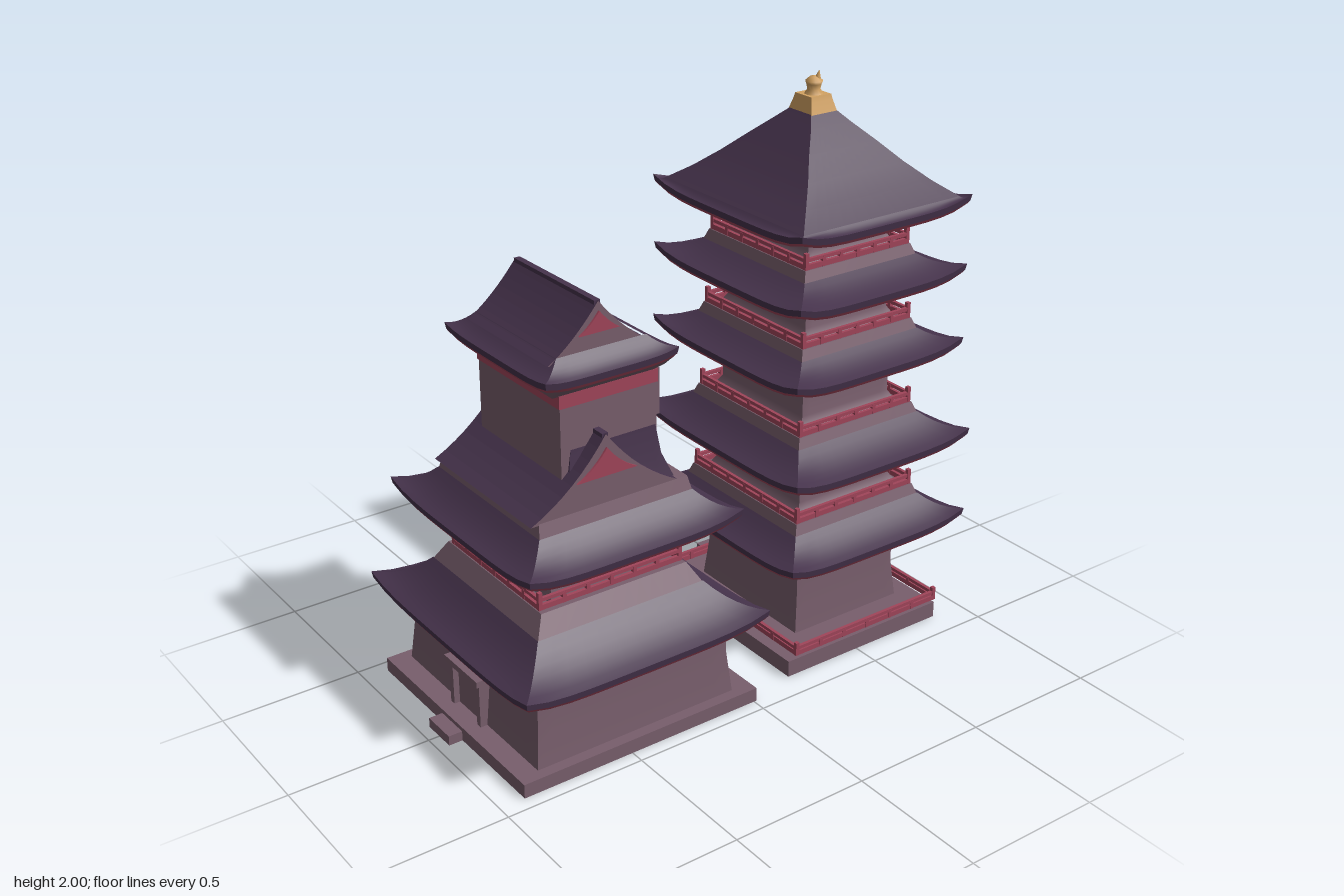
import * as THREE from 'three';

const paint = (name, color) => Object.assign(new THREE.MeshStandardMaterial({ color }), { name });

export function createModel() {
  const root = new THREE.Group();
  const roofMat = paint('purple roof', 0x46334c);
  const wallMat = paint('mauve wall', 0x785e6c);
  const redMat = paint('red trim', 0xa0455a);
  const goldMat = paint('gold', 0xd2a262);
  let parent = root;

  const add = (name, geo, mat, x = 0, y = 0, z = 0) => {
    const m = new THREE.Mesh(geo, mat);
    m.name = name;
    m.position.set(x, y, z);
    parent.add(m);
    return m;
  };
  const box = (name, mat, w, h, d, x, y, z) => add(name, new THREE.BoxGeometry(w, h, d), mat, x, y, z);

  // Four-sided loft: rings are [halfX, halfZ, y, cornerLift]; hips stay sharp
  function loft(name, mat, rings, z = 0, cap = false) {
    const n = 12, pos = [], idx = [];
    for (let s = 0; s < 4; s++) {
      const start = pos.length / 3;
      for (const [hx, hz, y, lift = 0] of rings) {
        for (let i = 0; i <= n; i++) {
          const t = (i / n) * 2 - 1;
          const p = [[t * hx, hz], [hx, -t * hz], [-t * hx, -hz], [-hx, t * hz]][s];
          pos.push(p[0], y + lift * Math.pow(Math.abs(t), 5), p[1]);
        }
      }
      for (let j = 0; j < rings.length - 1; j++) {
        for (let i = 0; i < n; i++) {
          const a = start + j * (n + 1) + i, b = a + n + 1;
          idx.push(a, a + 1, b + 1, a, b + 1, b);
        }
      }
    }
    const g = new THREE.BufferGeometry();
    g.setAttribute('position', new THREE.Float32BufferAttribute(pos, 3));
    g.setIndex(idx);
    g.computeVertexNormals();
    if (cap) {
      const [hx, hz, y] = rings[rings.length - 1];
      box(name + 'Cap', mat, hx * 2, 0.008, hz * 2, 0, y - 0.004, z);
    }
    return add(name, g, mat, 0, 0, z);
  }

  // Roof skirt: eave half sizes, eave bottom height, inner wall under it, top ring [hx, hz, y]
  function eaveRoof(name, hx, hz, y, inner, top, lift = 0.03) {
    const [tx, tz, ty] = top, rim = y + 0.035;
    loft(name + 'Underside', wallMat, [
      [inner[0], inner[1], y - 0.035],
      [inner[0] + (hx - inner[0]) * 0.45, inner[1] + (hz - inner[1]) * 0.45, y - 0.012],
      [hx - 0.012, hz - 0.012, y, lift]]);
    loft(name + 'Fascia', redMat, [[hx - 0.012, hz - 0.012, y, lift], [hx - 0.004, hz - 0.004, y + 0.012, lift]]);
    loft(name + 'Rim', roofMat, [[hx - 0.004, hz - 0.004, y + 0.012, lift], [hx, hz, rim, lift]]);
    const slope = [];
    for (let i = 0; i <= 6; i++) {
      const t = i / 6, h = 0.45 * t + 0.55 * t * t;
      slope.push([hx + (tx - hx) * t, hz + (tz - hz) * t, rim + (ty - rim) * h, lift * (1 - t) ** 2]);
    }
    loft(name, roofMat, slope);
  }

  // Balcony railing with posts around a rectangle
  function railing(name, hx, hz, y, h = 0.05) {
    const group = new THREE.Group(), old = parent;
    group.name = name;
    old.add(group);
    parent = group;
    for (const s of [-1, 1]) {
      for (const [dy, t] of [[0.009, 0.018], [h * 0.72, 0.012]]) {
        box('rail', redMat, hx * 2, t, 0.012, 0, y + dy, s * hz);
        box('rail', redMat, 0.012, t, hz * 2, s * hx, y + dy, 0);
      }
      for (let i = 0; i <= 6; i++) {
        const t = i / 3 - 1, ph = i % 6 ? h * 0.75 : h * 1.25;
        box('post', redMat, 0.014, ph, 0.014, t * hx, y + ph / 2, s * hz);
        box('post', redMat, 0.014, ph, 0.014, s * hx, y + ph / 2, t * hz);
      }
    }
    parent = old;
  }

  // Wall between roofs: sweeps in from the roof below, then straight up
  const storey = (name, base, body, y0, y1) => loft(name, wallMat, [
    [base[0], base[1], y0],
    [body[0] + (base[0] - body[0]) * 0.35, body[1] + (base[1] - body[1]) * 0.35, y0 + 0.035],
    [body[0], body[1], y0 + 0.08],
    [body[0], body[1], y1]]);

  // Solid gable along x with curved slopes, pale ends and a red triangle on each end
  function gable(name, halfLength, half, y, peak, z, belly) {
    const rise = peak - y;
    const outline = k => {
      const s = new THREE.Shape();
      s.moveTo(-half * k, 0);
      s.lineTo(half * k, 0);
      s.quadraticCurveTo(half * k * belly, rise * k * 0.32, 0, rise * k);
      s.quadraticCurveTo(-half * k * belly, rise * k * 0.32, -half * k, 0);
      return s;
    };
    const extrude = (k, len) => new THREE.ExtrudeGeometry(outline(k), { depth: len, bevelEnabled: false, curveSegments: 8 })
      .translate(0, 0, -len / 2).rotateY(Math.PI / 2);
    add(name, extrude(1, halfLength * 2), [wallMat, roofMat], 0, y, z);
    for (const s of [-1, 1]) {
      add(name + 'Ornament', extrude(0.4, 0.008), redMat, s * (halfLength + 0.003), y + rise * 0.42, z);
    }
    box(name + 'Ridge', roofMat, halfLength * 2 - 0.01, 0.014, 0.022, 0, peak - 0.006, z);
  }

  // ---------- Front keep ----------
  const keep = new THREE.Group();
  keep.name = 'keep';
  keep.position.z = 0.45;
  root.add(keep);
  parent = keep;
  box('foundation', wallMat, 0.9, 0.05, 0.92, 0, 0.025, 0);
  box('frontStep', wallMat, 0.13, 0.035, 0.06, 0, 0.0175, 0.48);
  loft('groundWall', wallMat, [[0.41, 0.385, 0.05], [0.395, 0.37, 0.2], [0.395, 0.37, 0.32]]);

  // Door with its frame
  box('door', wallMat, 0.16, 0.16, 0.008, 0.005, 0.13, 0.385);
  for (const s of [-1, 1]) box('doorPost', wallMat, 0.022, 0.16, 0.04, 0.005 + s * 0.085, 0.13, 0.39);
  box('doorLintel', wallMat, 0.21, 0.022, 0.055, 0.005, 0.22, 0.395);
  for (const s of [-1, 1]) {
    for (const z of [0.28, 0.16, -0.08, -0.29]) box('redBracket', redMat, 0.012, 0.03, 0.03, s * 0.394, 0.265, z);
  }

  eaveRoof('lowerRoof', 0.5, 0.47, 0.31, [0.39, 0.365], [0.33, 0.32, 0.46]);
  storey('secondWall', [0.33, 0.32], [0.245, 0.215], 0.455, 0.66);
  loft('balcony', wallMat, [[0.33, 0.32, 0.455], [0.29, 0.28, 0.525]], 0, true);
  railing('keepRailing', 0.265, 0.27, 0.525);
  eaveRoof('middleRoof', 0.435, 0.405, 0.68, [0.245, 0.215], [0.31, 0.29, 0.8]);
  loft('gableBase', wallMat, [[0.31, 0.29, 0.795], [0.295, 0.28, 0.845]], 0, true);

  // Side-facing gables and the hip behind them
  gable('sideGable', 0.295, 0.28, 0.84, 1.08, 0.03, 0.42);
  loft('rearHip', roofMat, [[0.27, 0.21, 0.845], [0.25, 0.175, 0.93], [0.24, 0.16, 1.03]], -0.035, true);

  // Upper tower
  box('upperWall', wallMat, 0.48, 0.4, 0.36, 0, 1.04, -0.02);
  box('rearBay', wallMat, 0.4, 0.16, 0.06, 0, 1.12, -0.21);
  box('upperRedBand', redMat, 0.488, 0.045, 0.368, 0, 1.2, -0.02);
  eaveRoof('topRoof', 0.3, 0.245, 1.255, [0.24, 0.185], [0.235, 0.165, 1.345], 0.015);
  gable('topGable', 0.235, 0.185, 1.325, 1.495, 0.01, 0.5);

  // ---------- Rear pagoda ----------
  const pagoda = new THREE.Group();
  pagoda.name = 'pagoda';
  pagoda.position.z = -0.56;
  root.add(pagoda);
  parent = pagoda;
  box('foundation', wallMat, 0.8, 0.06, 0.68, 0, 0.03, 0.03);
  box('frontStep', wallMat, 0.12, 0.05, 0.08, 0, 0.025, 0.38);
  box('sideStep', wallMat, 0.1, 0.045, 0.12, -0.43, 0.0225, 0.05);
  railing('groundRailing', 0.38, 0.32, 0.06, 0.04);
  loft('groundWall', wallMat, [[0.27, 0.235, 0.05], [0.255, 0.22, 0.2], [0.255, 0.22, 0.34]]);

  // [eave halfX, halfZ, eave bottom y, roof top y, wall top y of next storey]
  const tiers = [
    [0.435, 0.393, 0.37, 0.48, 0.67],
    [0.44, 0.388, 0.69, 0.8, 1.0],
    [0.4, 0.368, 1.025, 1.115, 1.27],
    [0.4, 0.362, 1.295, 1.385, 1.53],
  ];
  tiers.forEach(([hx, hz, y, topY, wallTop], i) => {
    const bx = 0.245 - i * 0.012, bz = 0.215 - i * 0.012;
    const top = [bx + 0.065, bz + 0.065];
    eaveRoof('tierRoof' + (i + 1), hx, hz, y, [bx, bz], [...top, topY]);
    loft('tierBalcony' + (i + 1), wallMat, [[...top, topY - 0.005], [bx + 0.05, bz + 0.05, topY + 0.035]], 0, true);
    storey('tierWall' + (i + 1), top, [bx - 0.012, bz - 0.012], topY - 0.005, wallTop);
    railing('tierRailing' + (i + 1), bx + 0.04, bz + 0.04, topY + 0.035, 0.045);
  });

  // Sweeping top roof
  eaveRoof('spireEave', 0.4, 0.365, 1.54, [0.2, 0.17], [0.37, 0.335, 1.595]);
  loft('spireRoof', roofMat, [
    [0.37, 0.335, 1.595], [0.3, 0.27, 1.645], [0.23, 0.205, 1.705],
    [0.16, 0.145, 1.77], [0.095, 0.085, 1.83], [0.05, 0.05, 1.87]]);

  // Gold finial
  loft('finialBase', goldMat, [[0.06, 0.056, 1.858], [0.046, 0.046, 1.9], [0.042, 0.042, 1.918]], 0, true);
  const knob = [[0.034, 0], [0.022, 0.018], [0.026, 0.036], [0.03, 0.046], [0.014, 0.06], [0, 0.064]];
  add('finialKnob', new THREE.LatheGeometry(knob.map(p => new THREE.Vector2(...p)), 12), goldMat, 0.003, 1.915, 0);
  add('finialTip', new THREE.ConeGeometry(0.014, 0.04, 8), goldMat, 0.014, 1.98, -0.008).rotation.z = -0.25;

  return root;
}
